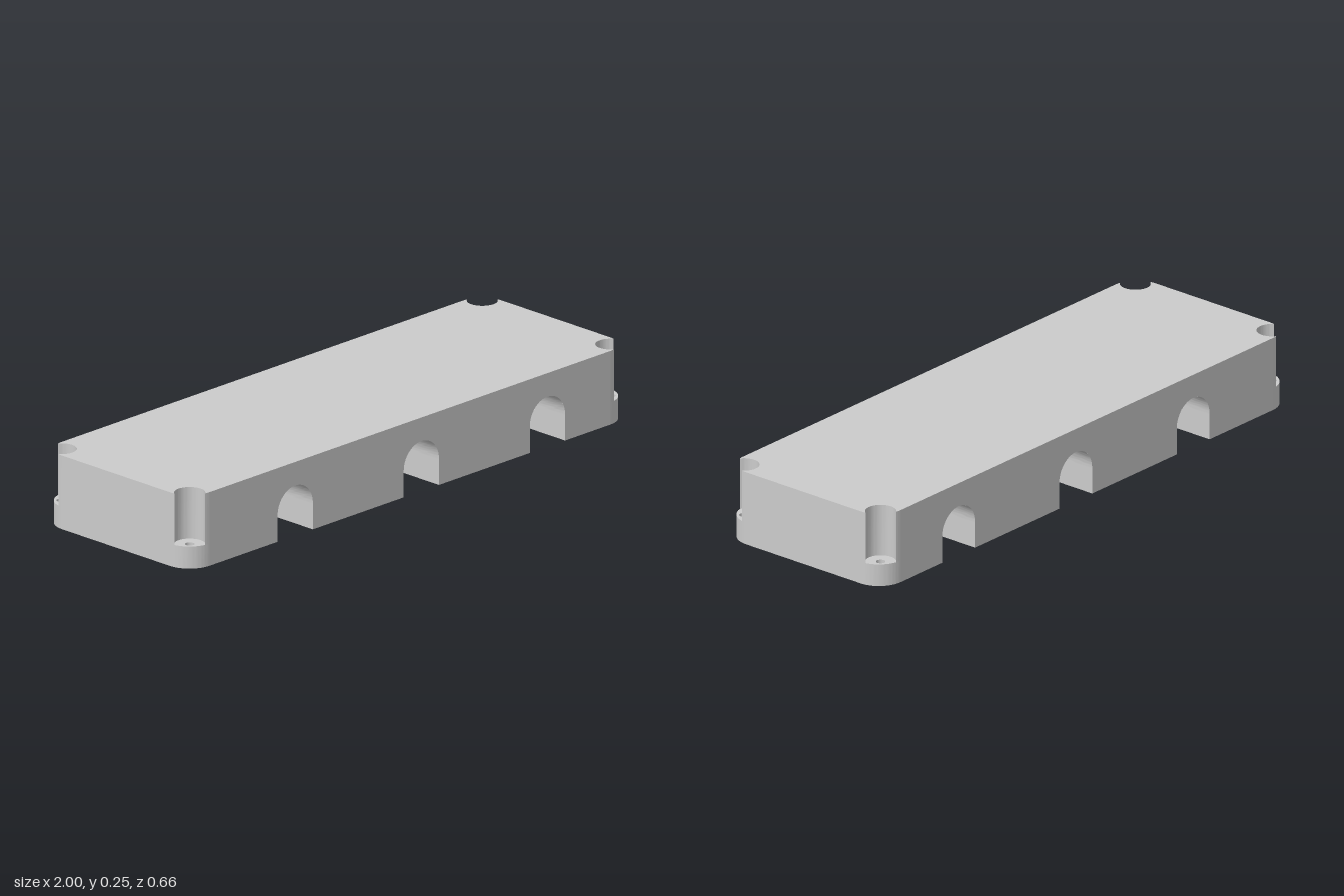
import * as THREE from 'three';
import { toCreasedNormals } from 'three/addons/utils/BufferGeometryUtils.js';

const H = 0.25, D = 0.33;                        // height, half depth
const CORNER = { x: 0.91, z: 0.24, r: 0.09 };    // rounded plan corner
const BORE = { x: 0.957, z: 0.287, r: 0.05, floor: 0.075, hole: 0.015 };
const CHANNELS = [-0.521, 0.052, 0.625], R = 0.08, SPRING = 0.09;
const PORT = { y: 0.085, r: 0.042, blind: 0.02 };
const material = new THREE.MeshStandardMaterial({ color: 0xcccccc, side: THREE.DoubleSide });

const arc = (c, r, a0, a1, n) => Array.from({ length: n + 1 }, (_, i) => {
  const a = THREE.MathUtils.degToRad(a0 + (a1 - a0) * i / n);
  return new THREE.Vector2(c.x + r * Math.cos(a), c.z + r * Math.sin(a));
});

// A sheet whose points are placed by a rule of (u, v)
function sheet(nu, nv, rule) {
  const g = new THREE.PlaneGeometry(1, 1, nu, nv), p = g.attributes.position;
  for (let i = 0; i < p.count; i++) p.setXYZ(i, ...rule(p.getX(i) + 0.5, p.getY(i) + 0.5));
  return toCreasedNormals(g, 0.6);
}

// Vertical wall following plan points
const ribbon = (pts, y0, y1) => sheet(pts.length - 1, 1, (u, v) => {
  const q = pts[Math.round(u * (pts.length - 1))];
  return [q.x, v ? y1 : y0, q.y];
});

// Flat plan with optional round holes, facing up or down
function plan(pts, y, up, holes = []) {
  const s = new THREE.Shape(pts.map(p => new THREE.Vector2(p.x, up ? -p.y : p.y)));
  for (const [x, z] of holes) {
    s.holes.push(new THREE.Path().absarc(x, up ? -z : z, BORE.hole, 0, Math.PI * 2, true));
  }
  return new THREE.ShapeGeometry(s, 24).rotateX(up ? -Math.PI / 2 : Math.PI / 2).translate(0, y, 0);
}

const flipZ = pts => pts.map(p => new THREE.Vector2(p.x, -p.y));
const bothCorners = pts => [...pts, ...flipZ(pts).reverse()];

// Where the corner bore breaks through the rounded corner
const gap = Math.hypot(BORE.x - CORNER.x, BORE.z - CORNER.z);
const cosA = (CORNER.r ** 2 + gap ** 2 - BORE.r ** 2) / (2 * CORNER.r * gap);
const A = THREE.MathUtils.radToDeg(Math.acos(cosA));
const B = THREE.MathUtils.radToDeg(Math.acos((CORNER.r * cosA - gap) / BORE.r));
const notch = arc(BORE, BORE.r, 45 + B, 405 - B, 32);
const lower = bothCorners(arc(CORNER, CORNER.r, 90, 0, 24));
const upper = bothCorners([
  ...arc(CORNER, CORNER.r, 90, 45 + A, 4), ...notch, ...arc(CORNER, CORNER.r, 45 - A, 0, 4)]);
const boreFloor = [...notch, ...arc(CORNER, CORNER.r, 45 - A, 45 + A, 16).slice(1, -1)];

// How far the arch leans in from the straight channel wall at height y
const inset = y => (y > SPRING ? R - Math.sqrt(R * R - (y - SPRING) ** 2) : 0);

// Half of an arched channel, unrolled as a ring from the port edge to the sheet border
function channelSide(c, side) {
  const top = SPRING + R * Math.PI / 2;
  const border = [[0, -D], [0, D], [top, D], [top, -D], [0, -D]];
  return sheet(160, 16, (u, v) => {
    const k = Math.min(3, Math.floor(u * 4 + 1e-6)), f = u * 4 - k;
    const bs = THREE.MathUtils.lerp(border[k][0], border[k + 1][0], f);
    const bz = THREE.MathUtils.lerp(border[k][1], border[k + 1][1], f);
    const t = Math.atan2(bz, bs - PORT.y), hy = PORT.y + PORT.r * Math.cos(t);
    const hs = hy > SPRING ? SPRING + R * Math.asin((hy - SPRING) / R) : hy;
    const s = THREE.MathUtils.lerp(hs, bs, v);
    const z = THREE.MathUtils.lerp(PORT.r * Math.sin(t), bz, v);
    const a = Math.max(0, s - SPRING) / R;
    return [c + side * R * Math.cos(a), Math.min(s, SPRING) + R * Math.sin(a), z];
  });
}

// Round passage along x, its ends trimmed to the channel walls
const passage = (x0, x1, trim0, trim1) => sheet(64, 1, (u, v) => {
  const t = u * Math.PI * 2, y = PORT.y + PORT.r * Math.cos(t);
  return [v ? x1 + trim1 * inset(y) : x0 - trim0 * inset(y), y, PORT.r * Math.sin(t)];
});

export function createModel() {
  const model = new THREE.Group();
  model.name = 'channelBlock';
  const add = (parent, name, geometry) => {
    const m = new THREE.Mesh(geometry, material);
    m.name = name;
    parent.add(m);
    return m;
  };

  // Top plate
  add(model, 'top', plan([...upper, ...upper.map(p => p.clone().negate())], H, true));

  // Front and back walls with arched openings
  const face = new THREE.Shape().moveTo(-CORNER.x, 0);
  for (const c of CHANNELS) {
    face.lineTo(c - R, 0).lineTo(c - R, SPRING);
    face.absarc(c, SPRING, R, Math.PI, 0, true).lineTo(c + R, 0);
  }
  face.lineTo(CORNER.x, 0).lineTo(CORNER.x, H).lineTo(-CORNER.x, H);
  const faceGeometry = new THREE.ShapeGeometry(face, 40);
  add(model, 'frontWall', faceGeometry).position.z = D;
  add(model, 'backWall', faceGeometry).position.z = -D;

  // Rounded ends with corner bores and screw holes
  for (const turn of [0, Math.PI]) {
    const end = new THREE.Group();
    end.name = turn ? 'rightEnd' : 'leftEnd';
    end.rotation.y = turn;
    model.add(end);
    add(end, 'lowerEndWall', ribbon(lower, 0, BORE.floor));
    add(end, 'upperEndWall', ribbon(upper, BORE.floor, H));
    add(end, 'endUnderside', plan(lower, 0, false, [[BORE.x, BORE.z], [BORE.x, -BORE.z]]));
    for (const s of [1, -1]) {
      const pts = s > 0 ? boreFloor : flipZ(boreFloor);
      add(end, 'boreFloor', plan(pts, BORE.floor, true, [[BORE.x, s * BORE.z]]));
      const hole = new THREE.CylinderGeometry(BORE.hole, BORE.hole, BORE.floor, 24, 1, true);
      add(end, 'screwHole', hole).position.set(BORE.x, BORE.floor / 2, s * BORE.z);
    }
  }

  // Undersides of the blocks between channels
  const edges = [-CORNER.x, ...CHANNELS.flatMap(c => [c - R, c + R]), CORNER.x];
  for (let i = 0; i < edges.length; i += 2) {
    const g = new THREE.PlaneGeometry(edges[i + 1] - edges[i], 2 * D).rotateX(Math.PI / 2);
    add(model, 'blockUnderside', g).position.x = (edges[i] + edges[i + 1]) / 2;
  }

  // Channels
  for (const c of CHANNELS) {
    for (const side of [1, -1]) add(model, 'channelWall', channelSide(c, side));
  }

  // Cross passages joining the channels, with shallow blind ends
  const first = CHANNELS[0] - R, last = CHANNELS[2] + R;
  for (let i = 0; i < 2; i++) {
    add(model, 'crossPassage', passage(CHANNELS[i] + R, CHANNELS[i + 1] - R, 1, 1));
  }
  add(model, 'blindPassage', passage(first - PORT.blind, first, 0, 1));
  add(model, 'blindPassage', passage(last, last + PORT.blind, 1, 0));
  for (const x of [first - PORT.blind, last + PORT.blind]) {
    const g = new THREE.CircleGeometry(PORT.r, 64).rotateY(x < 0 ? Math.PI / 2 : -Math.PI / 2);
    add(model, 'passageEnd', g).position.set(x, PORT.y, 0);
  }
  return model;
}
